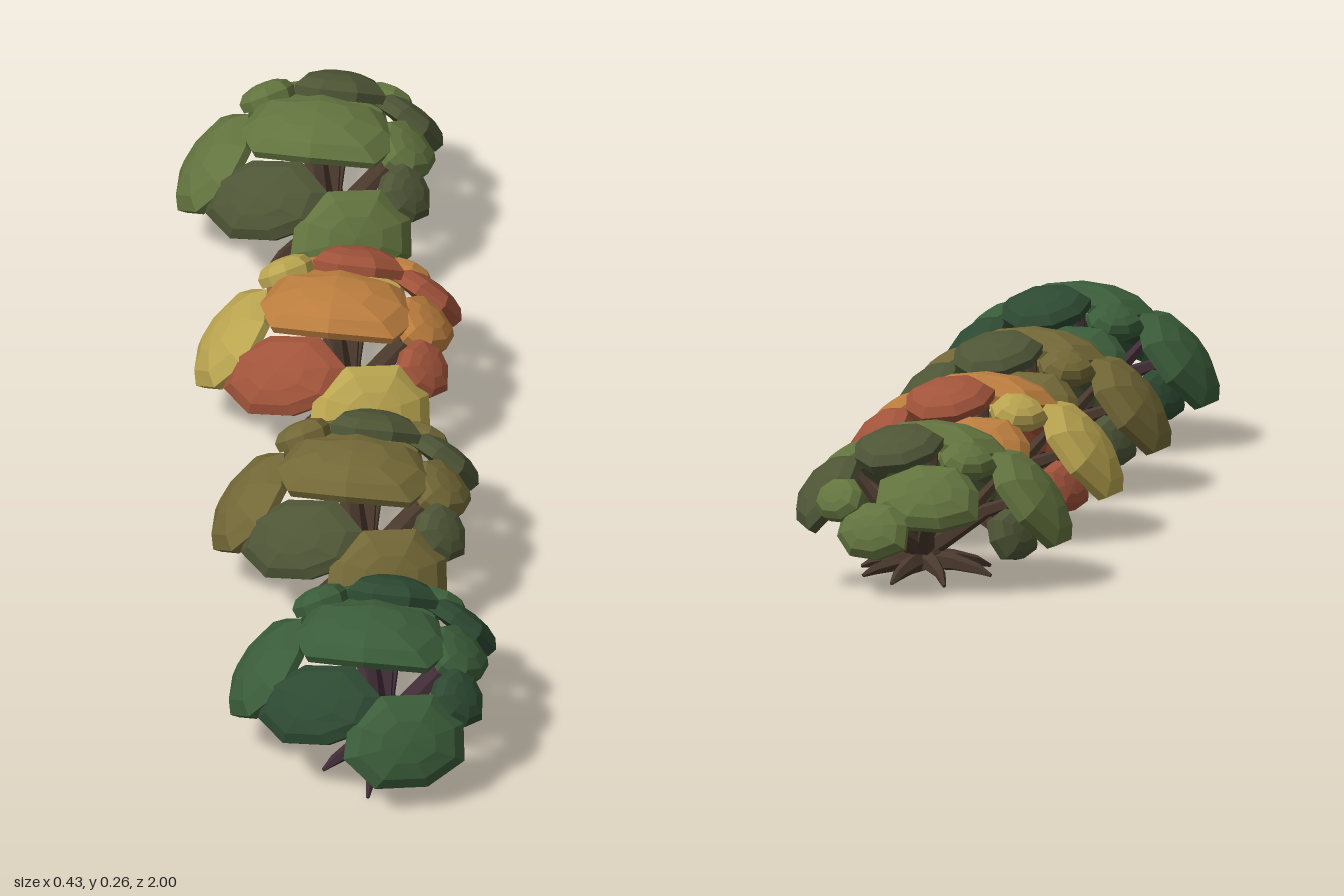
import * as THREE from 'three';
import { mergeGeometries } from 'three/addons/utils/BufferGeometryUtils.js';

const V = (x, y, z) => new THREE.Vector3(x, y, z);
let seed = 7;
const rand = () => { seed = (seed * 16807) % 2147483647; return seed / 2147483647; };

// Faceted closed skin over matching rings, capped by a point at each end
function loft(start, rings, end) {
  const pos = [];
  const tri = (...ps) => ps.forEach((p) => pos.push(p.x, p.y, p.z));
  const n = rings[0].length;
  for (let i = 0; i < n; i++) {
    const j = (i + 1) % n;
    tri(start, rings[0][i], rings[0][j]);
    for (let k = 0; k + 1 < rings.length; k++) {
      const a = rings[k], b = rings[k + 1];
      tri(a[i], b[i], b[j]);
      tri(a[i], b[j], a[j]);
    }
    const last = rings[rings.length - 1];
    tri(last[i], end, last[j]);
  }
  const g = new THREE.BufferGeometry();
  g.setAttribute('position', new THREE.Float32BufferAttribute(pos, 3));
  g.computeVertexNormals();
  return g;
}

// Tapering limb through a few points
function limb(points, radii, sides = 5) {
  const rings = points.map((p, k) => {
    const t = points[Math.min(k + 1, points.length - 1)].clone()
      .sub(points[Math.max(k - 1, 0)]).normalize();
    const a = V(0, 1, 0).cross(t);
    if (a.length() < 0.1) a.set(1, 0, 0);
    a.normalize();
    const b = a.clone().cross(t);
    return Array.from({ length: sides }, (_, i) => {
      const w = (i / sides) * Math.PI * 2;
      return p.clone().addScaledVector(a, Math.cos(w) * radii[k]).addScaledVector(b, Math.sin(w) * radii[k]);
    });
  });
  return loft(points[0], rings, points[points.length - 1]);
}

// Outward direction of the domed crown
const domeNormal = (c) =>
  V((c.x - 0.02) / 0.0576, (c.y - 0.03) / 0.0484, c.z / 0.0552).normalize();

// Thick curved leaf pad with a bevelled, boxy, uneven rim
function leafPad(c, w, h, roll) {
  const n = domeNormal(c);
  const u = n.y > 0.85 ? V(1, 0, 0).addScaledVector(n, -n.x).normalize() : V(0, 1, 0).cross(n).normalize();
  u.applyAxisAngle(n, roll);
  const v = n.clone().cross(u);
  const turn = rand() * 0.5;
  const outline = Array.from({ length: 8 }, (_, i) => {
    const a = (i / 8) * Math.PI * 2 + turn;
    const x = Math.cos(a), y = Math.sin(a);
    const r = (0.93 + rand() * 0.17) / Math.cbrt(Math.abs(x) ** 3 + Math.abs(y) ** 3);
    return [x * r * w, y * r * h];
  });
  const at = (x, y, lift) => c.clone().addScaledVector(u, x).addScaledVector(v, y)
    .addScaledVector(n, lift - (x * x + y * y) / 0.5);
  const ring = (s, lift) => outline.map(([x, y]) => at(x * s, y * s, lift));
  return loft(at(0, 0, 0.012),
    [ring(0.45, 0.011), ring(0.8, 0.007), ring(1, -0.004), ring(0.95, -0.02), ring(0.55, -0.02)],
    at(0, 0, -0.02));
}

// Pads: centre x, y, z, half width, half height, tone (0 main, 1 dark, 2 light), roll
const PADS = [
  [0.012, 0.24, 0.025, 0.122, 0.078, 0, -0.2],
  [-0.168, 0.152, -0.015, 0.104, 0.086, 2, 0],
  [0.062, 0.12, 0.197, 0.098, 0.07, 2, -0.1],
  [-0.085, 0.16, 0.137, 0.098, 0.066, 1, 0.25],
  [-0.01, 0.163, -0.18, 0.08, 0.06, 0, 0],
  [-0.06, 0.215, -0.107, 0.044, 0.035, 2, 0],
  [0.08, 0.11, -0.213, 0.06, 0.046, 2, 0],
  [-0.14, 0.093, -0.105, 0.044, 0.04, 1, 0],
  [0.14, 0.155, -0.177, 0.042, 0.036, 0, 0],
  [0.178, 0.162, -0.1, 0.06, 0.068, 1, 0],
  [0.058, 0.235, -0.1, 0.069, 0.056, 1, 0],
  [0.158, 0.19, 0.035, 0.06, 0.054, 0, 0],
  [0.154, 0.155, 0.118, 0.046, 0.046, 1, 0],
];

// Trunk, spreading branches and splayed roots
function woodGeometry() {
  const base = V(0.03, 0.04, 0.02);
  const parts = [limb([V(0.03, 0.018, 0.02), V(0.03, 0.042, 0.02), V(0.03, 0.075, 0.02)], [0.036, 0.032, 0.02], 7)];
  for (const [x, y, z] of PADS.filter((p) => p[3] > 0.045)) {
    const c = V(x, y, z);
    const tip = c.clone().addScaledVector(domeNormal(c), -0.015);
    const mid = base.clone().lerp(tip, 0.55);
    mid.y += y < 0.16 ? 0.015 : -0.008;
    parts.push(limb([base, mid, tip], [0.017, 0.012, 0.007]));
  }
  for (let i = 0; i < 8; i++) {
    const a = (i / 8) * Math.PI * 2 + 0.25;
    const len = 0.9 + 0.2 * rand();
    const out = (s, y) => V(base.x + Math.cos(a) * 0.108 * s * len, y, base.z + Math.sin(a) * 0.142 * s * len);
    parts.push(limb([out(0, 0.03), out(0.45, 0.028), out(0.8, 0.02), out(1, i % 3 === 2 ? 0.003 : 0.011)],
      [0.018, 0.014, 0.009, 0.003]));
  }
  return mergeGeometries(parts);
}

export function createModel() {
  const mat = (name, color) => {
    const m = new THREE.MeshStandardMaterial({ color });
    m.name = name;
    return m;
  };
  const plumBark = mat('plumBark', 0x412d37);
  const brownBark = mat('brownBark', 0x4a392d);
  const green = mat('deepGreen', 0x3b5d3a);
  const greenDark = mat('forestGreen', 0x2d4932);
  const olive = mat('olive', 0x736837);
  const moss = mat('moss', 0x4e5536);
  const light = mat('leafGreen', 0x63743f);
  const orange = mat('orange', 0xbb7d3e);
  const red = mat('rust', 0xa0533a);
  const yellow = mat('straw', 0xbaa550);

  const pads = PADS.map(([x, y, z, w, h, , roll]) => leafPad(V(x, y, z), w, h, roll));
  const wood = woodGeometry();

  // Four trees in a row: name, z, bark, leaf tones
  const trees = [
    ['deepGreenTree', 0.77, plumBark, [green, greenDark, green]],
    ['oliveTree', 0.265, brownBark, [olive, moss, olive]],
    ['autumnTree', -0.235, brownBark, [orange, red, yellow]],
    ['leafGreenTree', -0.77, brownBark, [light, moss, light]],
  ];
  const model = new THREE.Group();
  model.name = 'treeRow';
  for (const [name, z, bark, tones] of trees) {
    const tree = new THREE.Group();
    tree.name = name;
    tree.position.z = z;
    const trunk = new THREE.Mesh(wood, bark);
    trunk.name = 'trunkBranchesRoots';
    tree.add(trunk);
    pads.forEach((g, i) => {
      const pad = new THREE.Mesh(g, tones[PADS[i][5]]);
      pad.name = 'leafPad' + (i + 1);
      tree.add(pad);
    });
    model.add(tree);
  }
  return model;
}
